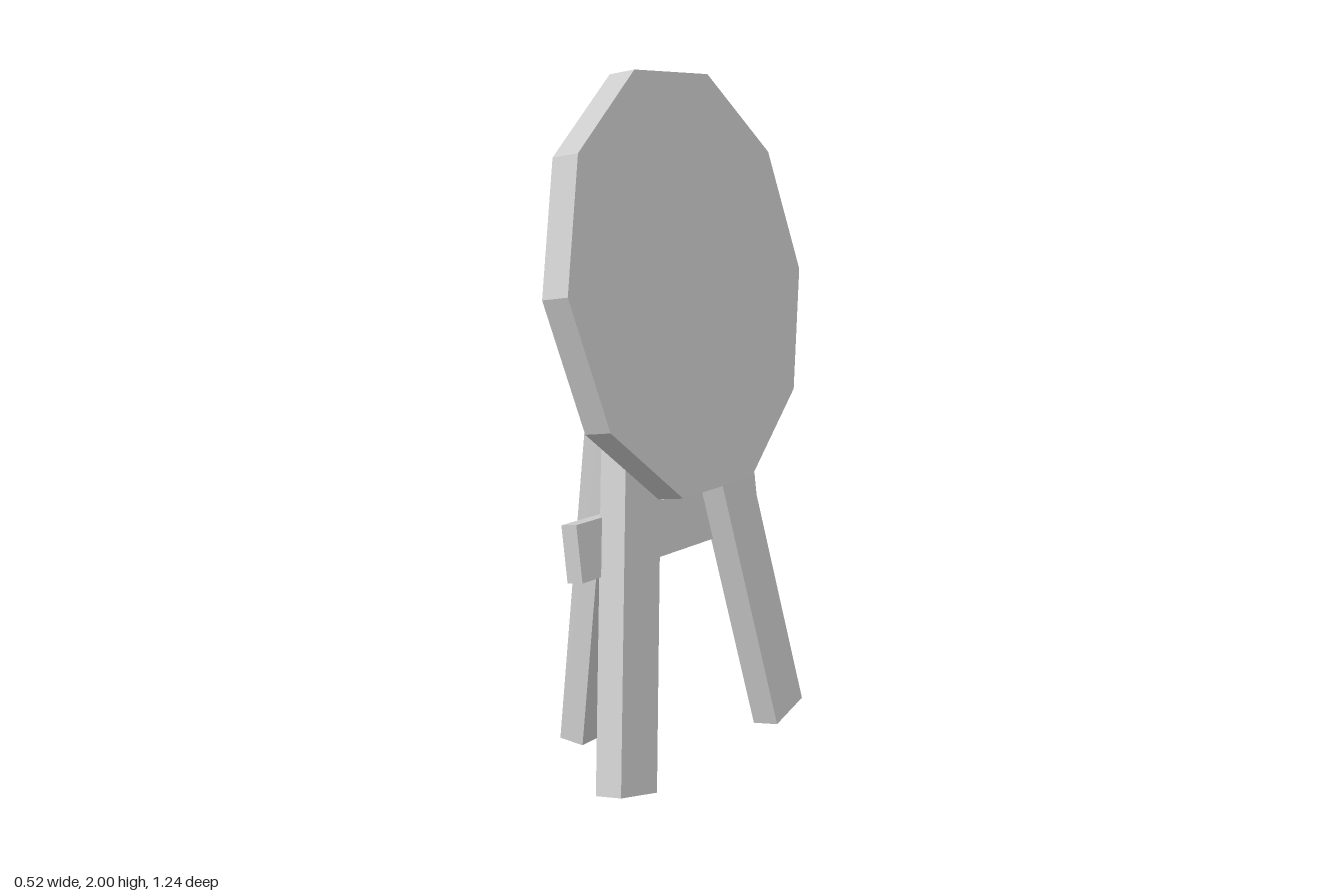
import * as THREE from 'three';

const material = new THREE.MeshStandardMaterial({ color: 0xcccccc, flatShading: true });
const rad = THREE.MathUtils.degToRad;

function add(parent, name, geometry, position, rotation = [0, 0, 0]) {
  const mesh = new THREE.Mesh(geometry, material);
  mesh.name = name;
  mesh.position.set(...position);
  mesh.rotation.set(...rotation);
  parent.add(mesh);
  return mesh;
}

export function createModel() {
  const model = new THREE.Group();
  model.name = 'targetOnStand';

  // ten-sided target board, tipped back and facing +x
  add(model, 'targetBoard', new THREE.CylinderGeometry(0.622, 0.622, 0.082, 10),
    [0.12, 1.41, 0], [0, 0, rad(7.8 - 90)]);

  // leaning front frame: its origin is midway between the feet
  const frame = new THREE.Group();
  frame.name = 'frontFrame';
  frame.position.set(0.213, 0.042, 0.006);
  frame.rotation.z = rad(7.4);
  model.add(frame);

  // two splayed legs that meet at the top
  const length = 1.596, splay = rad(12.5);
  for (const side of [1, -1]) {
    const z = 0.429 - Math.sin(splay) * length / 2;
    add(frame, side > 0 ? 'frontLegLeft' : 'frontLegRight',
      new THREE.BoxGeometry(0.083, length, 0.175),
      [0, Math.cos(splay) * length / 2, side * z], [-side * splay, 0, 0]);
  }

  // crossbar fixed behind the front legs, very slightly off level
  add(frame, 'crossbar', new THREE.BoxGeometry(0.05, 0.16, 0.968),
    [-0.06, 0.672, -0.01], [rad(-0.6), 0, 0]);

  // single rear leg leaning forward
  add(model, 'rearLeg', new THREE.BoxGeometry(0.083, 1.56, 0.175),
    [-0.141, 0.784, 0.003], [0, 0, rad(-5.75)]);

  return model;
}
